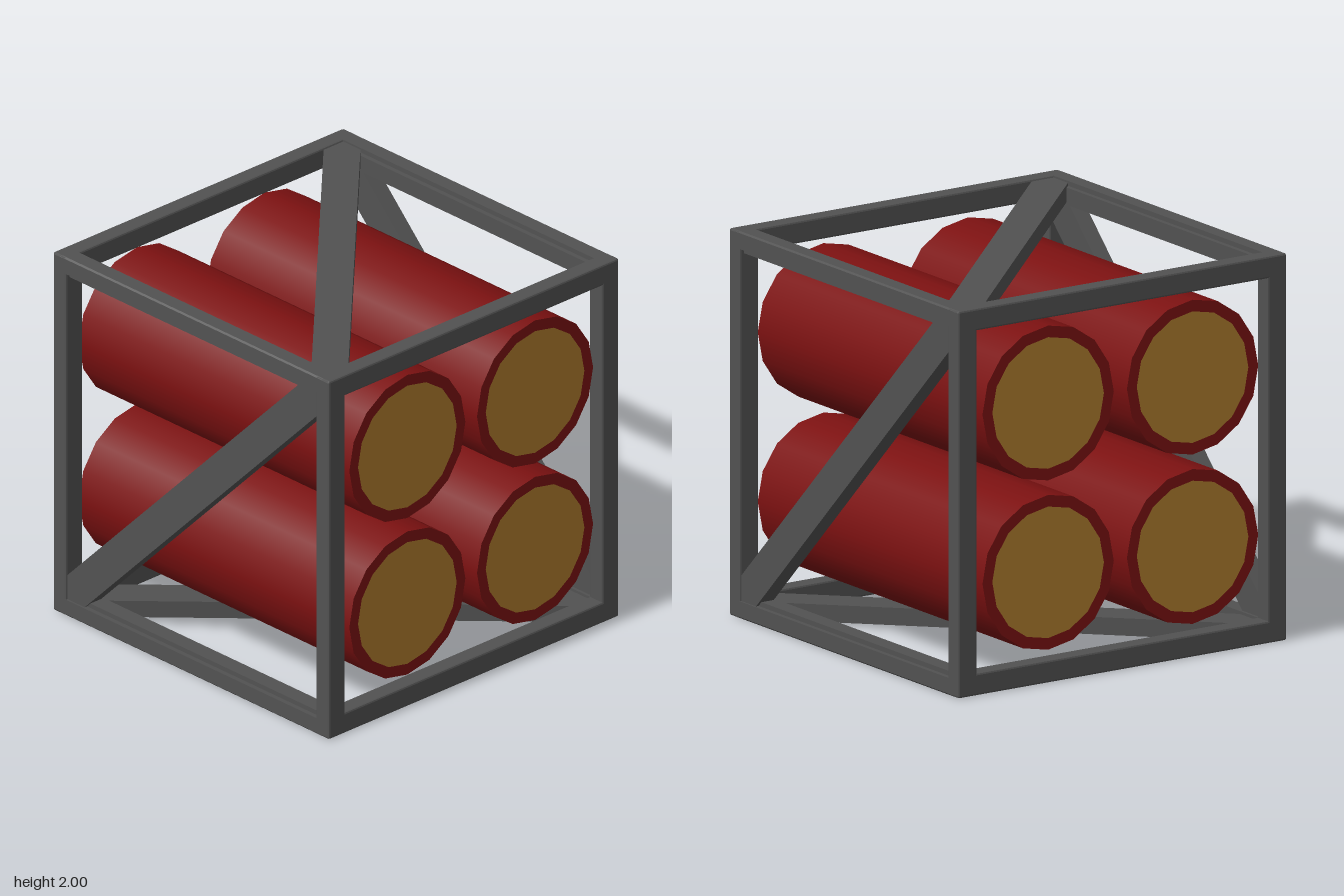
import * as THREE from 'three';
import { RoundedBoxGeometry } from 'three/addons/geometries/RoundedBoxGeometry.js';

const frameMat = new THREE.MeshStandardMaterial({ color: 0x525252, flatShading: true });
const redMat = new THREE.MeshStandardMaterial({ color: 0x7c1111 });
const tanMat = new THREE.MeshStandardMaterial({ color: 0xb07d2e });

function add(parent, name, geometry, material) {
  const mesh = new THREE.Mesh(geometry, material);
  mesh.name = name;
  parent.add(mesh);
  return mesh;
}

const polygon = (points) => new THREE.Shape(points.map(([x, y]) => new THREE.Vector2(x, y)));

// Rectangular frames of the front and back, and stepped rails joining them
function buildFrame() {
  const frame = new THREE.Group();
  frame.name = 'frame';
  const W = 0.115, D = 0.095, L = 0.09, S = W - L, bevel = 0.01;
  const postGeo = new RoundedBoxGeometry(W, 2, D, 1, bevel);
  const barGeo = new RoundedBoxGeometry(2, W, D, 1, bevel);
  // rail section measured inward from the outer corner, with a lip on its inner side
  const c = 0.008;
  const section = [
    [c, 0], [L, 0], [L, S], [W, S], [W, W], [S, W], [S, L], [0, L], [0, c],
  ].map(([x, y]) => [1 - x, 1 - y]);
  const railGeo = new THREE.ExtrudeGeometry(polygon(section), { depth: 1.9, bevelEnabled: false });
  railGeo.translate(0, 0, -0.95);

  for (const z of [-1, 1]) {
    for (const s of [-1, 1]) {
      add(frame, 'post', postGeo, frameMat).position.set(s * (1 - W / 2), 0, z * (1 - D / 2));
      add(frame, 'crossBar', barGeo, frameMat).position.set(0, s * (1 - W / 2), z * (1 - D / 2));
    }
  }
  for (let i = 0; i < 4; i++) add(frame, 'rail', railGeo, frameMat).rotation.z = (i * Math.PI) / 2;
  return frame;
}

// Diagonal braces on the sides, top and bottom
function buildBraces() {
  const braces = new THREE.Group();
  braces.name = 'braces';
  const e = 0.96, w = 0.13;
  const geo = new THREE.ExtrudeGeometry(
    polygon([[-e, -e], [-e + w, -e], [e, e - w], [e, e], [e - w, e], [-e, -e + w]]),
    { depth: 0.09, bevelEnabled: false },
  );
  geo.translate(0, 0, 0.9);
  const q = Math.PI / 2;
  add(braces, 'leftBrace', geo, frameMat).rotation.y = q;
  add(braces, 'rightBrace', geo, frameMat).rotation.y = -q;
  add(braces, 'topBrace', geo, frameMat).rotation.x = -q;
  add(braces, 'bottomBrace', geo, frameMat).rotation.x = q;
  return braces;
}

// Four red cylinders with tan discs in both ends
function buildCylinders() {
  const all = new THREE.Group();
  all.name = 'cylinders';
  const R = 0.4, inner = 0.34, half = 0.98, sides = 16;
  const body = new THREE.CylinderGeometry(R, R, half * 2, sides, 1, true).rotateX(Math.PI / 2);
  const rim = new THREE.RingGeometry(inner, R, sides, 1).translate(0, 0, half);
  const disc = new THREE.CircleGeometry(inner, sides).translate(0, 0, half);
  for (const x of [-0.44, 0.44]) {
    for (const y of [-0.435, 0.44]) {
      const cyl = new THREE.Group();
      cyl.name = 'cylinder';
      add(cyl, 'cylinderBody', body, redMat);
      for (const turn of [0, Math.PI]) {
        add(cyl, 'endRim', rim, redMat).rotation.y = turn;
        add(cyl, 'endDisc', disc, tanMat).rotation.y = turn;
      }
      cyl.position.set(x, y, 0);
      all.add(cyl);
    }
  }
  return all;
}

export function createModel() {
  const model = new THREE.Group();
  model.name = 'cylinderCrate';
  const body = new THREE.Group();
  body.name = 'crate';
  body.add(buildFrame(), buildBraces(), buildCylinders());
  body.position.y = 1;
  model.add(body);
  return model;
}
